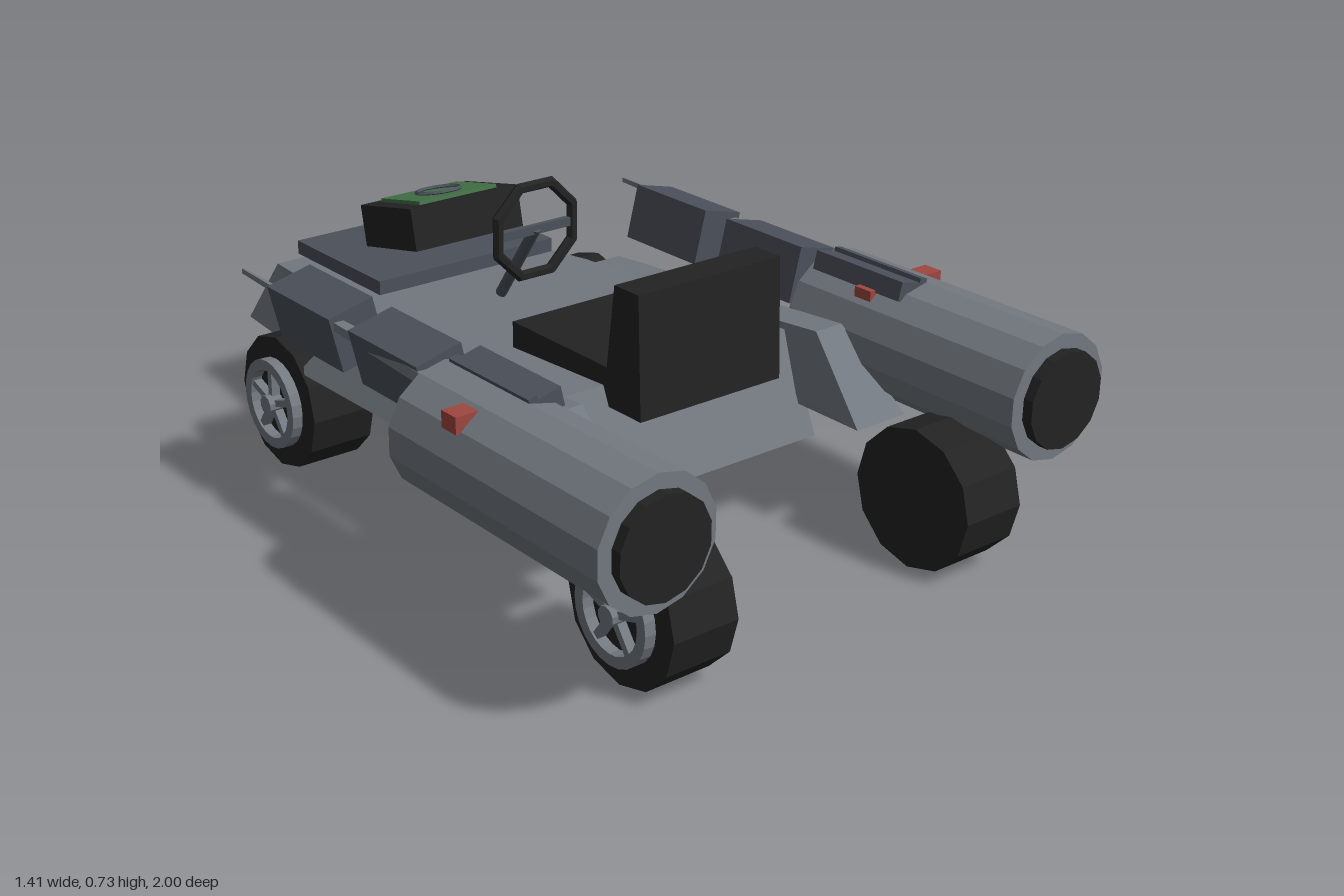
import * as THREE from 'three';

const mat = (name, color) => {
  const m = new THREE.MeshStandardMaterial({ color });
  m.name = name;
  m.flatShading = true;
  return m;
};

export function createModel() {
  const hullGrey = mat('hull grey', 0x737980);
  const slate = mat('slate', 0x4b505a);
  const black = mat('black', 0x232323);
  const green = mat('screen green', 0x437348);
  const red = mat('signal red', 0x9f4740);
  const root = new THREE.Group();
  root.name = 'hoverCart';

  const add = (name, geo, m, pos = [0, 0, 0], rot = [0, 0, 0], parent = root) => {
    const mesh = new THREE.Mesh(geo, m);
    mesh.name = name;
    mesh.position.set(...pos);
    mesh.rotation.set(...rot);
    parent.add(mesh);
    return mesh;
  };
  const box = (w, h, d) => new THREE.BoxGeometry(w, h, d);

  // Closed solid through four-cornered sections running towards +z;
  // corners are counter-clockwise seen from +z. mirror flips it across x.
  const loft = (sections, mirror = 1) => {
    const s = sections.map(c => {
      const p = c.map(([x, y, z]) => [x * mirror, y, z]);
      return mirror < 0 ? p.reverse() : p;
    });
    const out = [];
    const quad = (a, b, c, d) => out.push(...a, ...b, ...c, ...a, ...c, ...d);
    for (let k = 0; k + 1 < s.length; k++) {
      for (let i = 0; i < 4; i++) {
        const j = (i + 1) % 4;
        quad(s[k][i], s[k][j], s[k + 1][j], s[k + 1][i]);
      }
    }
    quad(...[...s[0]].reverse());
    quad(...s[s.length - 1]);
    const g = new THREE.BufferGeometry();
    g.setAttribute('position', new THREE.Float32BufferAttribute(out, 3));
    g.computeVertexNormals();
    return g;
  };

  // Hull: bottom z, bottom half width, top z, top half width, top height
  const hull = [
    [-1, 0.305, -0.91, 0.265, 0.365],
    [-0.42, 0.355, -0.38, 0.335, 0.395],
    [0.46, 0.345, 0.36, 0.342, 0.435],
  ].map(([zb, wb, zt, wt, yt]) => [[-wb, 0.2, zb], [wb, 0.2, zb], [wt, yt, zt], [-wt, yt, zt]]);
  add('hull', loft(hull), hullGrey);

  // Dashboard plate and tilted console
  add('dashPlate', box(0.52, 0.035, 0.38), slate, [0, 0.437, -0.62]);
  const console_ = new THREE.Group();
  console_.name = 'console';
  console_.position.set(0, 0.54, -0.54);
  console_.rotation.x = -0.21;
  root.add(console_);
  add('consoleBody', box(0.32, 0.105, 0.23), black, [0, 0, 0], [0, 0, 0], console_);
  add('consoleScreen', box(0.23, 0.009, 0.175), green, [0, 0.057, 0], [0, 0, 0], console_);
  add('screenRing', new THREE.TorusGeometry(0.055, 0.006, 4, 16), slate,
    [0, 0.064, 0], [Math.PI / 2, 0, 0], console_);

  // Steering wheel with spokes and column
  add('steeringWheel', new THREE.TorusGeometry(0.117, 0.014, 6, 8), black,
    [0, 0.61, -0.15], [0, 0, Math.PI / 8]);
  add('steeringSpoke', box(0.22, 0.022, 0.014), slate, [0, 0.61, -0.15]);
  add('steeringColumn', new THREE.CylinderGeometry(0.014, 0.014, 0.25, 8), slate,
    [0, 0.51, -0.22], [0.61, 0, 0]);

  // Seat with a backrest that thickens downwards
  add('seatCushion', box(0.4, 0.09, 0.39), black, [0, 0.435, 0.225]);
  const back = [[0.36, 0.487, 0.39], [0.395, 0.475, 0.675]];
  const backCorners = [0, 1].map(i =>
    [[-0.2, back[0][2], back[0][i]], [0.2, back[0][2], back[0][i]],
      [0.2, back[1][2], back[1][i]], [-0.2, back[1][2], back[1][i]]]);
  add('seatBack', loft(backCorners), black);
  add('seatBackPad', box(0.32, 0.15, 0.009), slate, [0, 0.57, 0.379], [0.122, 0, 0]);

  for (const s of [1, -1]) {
    const side = new THREE.Group();
    side.name = s > 0 ? 'leftSide' : 'rightSide';
    root.add(side);
    const put = (name, geo, m, pos, rot) => add(name, geo, m, pos, rot, side);

    // Side pod with sloping ends and outer wall
    put('sidePod', loft([
      [[0.32, 0.275, -0.44], [0.49, 0.275, -0.44], [0.425, 0.39, -0.36], [0.32, 0.39, -0.36]],
      [[0.32, 0.275, 0.62], [0.47, 0.275, 0.62], [0.415, 0.46, 0.46], [0.335, 0.46, 0.46]],
    ], s), hullGrey);

    // Engine tube with dark nozzle
    const ex = 0.56 * s;
    put('engine', new THREE.CylinderGeometry(0.147, 0.147, 0.69, 14), hullGrey,
      [ex, 0.415, 0.63], [Math.PI / 2, 0, 0]);
    put('engineNozzle', new THREE.CylinderGeometry(0.113, 0.113, 0.06, 14), black,
      [ex, 0.415, 0.97], [Math.PI / 2, 0, 0]);
    put('enginePad', box(0.13, 0.045, 0.275), slate, [0.54 * s, 0.542, 0.44], [0, 0, -0.24 * s]);
    put('enginePadRib', box(0.022, 0.016, 0.275), slate, [0.55 * s, 0.565, 0.44], [0, 0, -0.24 * s]);
    put('signalLight', box(0.23, 0.038, 0.05), red, [0.572 * s, 0.522, 0.48]);

    // Tilted equipment boxes
    for (const z of [-0.233, 0.11]) {
      put('equipmentBox', box(0.118, 0.138, 0.265), slate, [0.53 * s, 0.487, z], [0, 0, -0.24 * s]);
    }

    // Long blade tapering to the front
    put('blade', loft([
      [[0.572, 0.518, -0.53], [0.576, 0.518, -0.53], [0.576, 0.53, -0.53], [0.572, 0.53, -0.53]],
      [[0.56, 0.503, 0.3], [0.605, 0.503, 0.3], [0.605, 0.53, 0.3], [0.56, 0.53, 0.3]],
    ], s), hullGrey);

    // Wheels: tyre, rim ring, hub and five spokes
    for (const z of [0.785, -0.535]) {
      const wheel = new THREE.Group();
      wheel.name = z > 0 ? 'rearWheel' : 'frontWheel';
      wheel.position.set(0.412 * s, 0.167, z);
      wheel.rotation.y = s * Math.PI / 2;
      side.add(wheel);
      add('tyre', new THREE.CylinderGeometry(0.167, 0.167, 0.166, 12), black,
        [0, 0, 0], [Math.PI / 2, 0, 0], wheel);
      const ring = new THREE.Shape().absarc(0, 0, 0.112, 0, Math.PI * 2);
      ring.holes.push(new THREE.Path().absarc(0, 0, 0.086, 0, Math.PI * 2, true));
      add('rim', new THREE.ExtrudeGeometry(ring, { depth: 0.028, bevelEnabled: false, curveSegments: 12 }),
        hullGrey, [0, 0, 0.082], [0, 0, 0], wheel);
      add('hub', new THREE.CylinderGeometry(0.024, 0.024, 0.04, 10), hullGrey,
        [0, 0, 0.1], [Math.PI / 2, 0, 0], wheel);
      for (let i = 0; i < 5; i++) {
        const a = Math.PI / 2 + i * Math.PI * 0.4;
        add('spoke', box(0.09, 0.017, 0.022), hullGrey,
          [Math.cos(a) * 0.05, Math.sin(a) * 0.05, 0.094], [0, 0, a], wheel);
      }
    }
  }
  return root;
}
